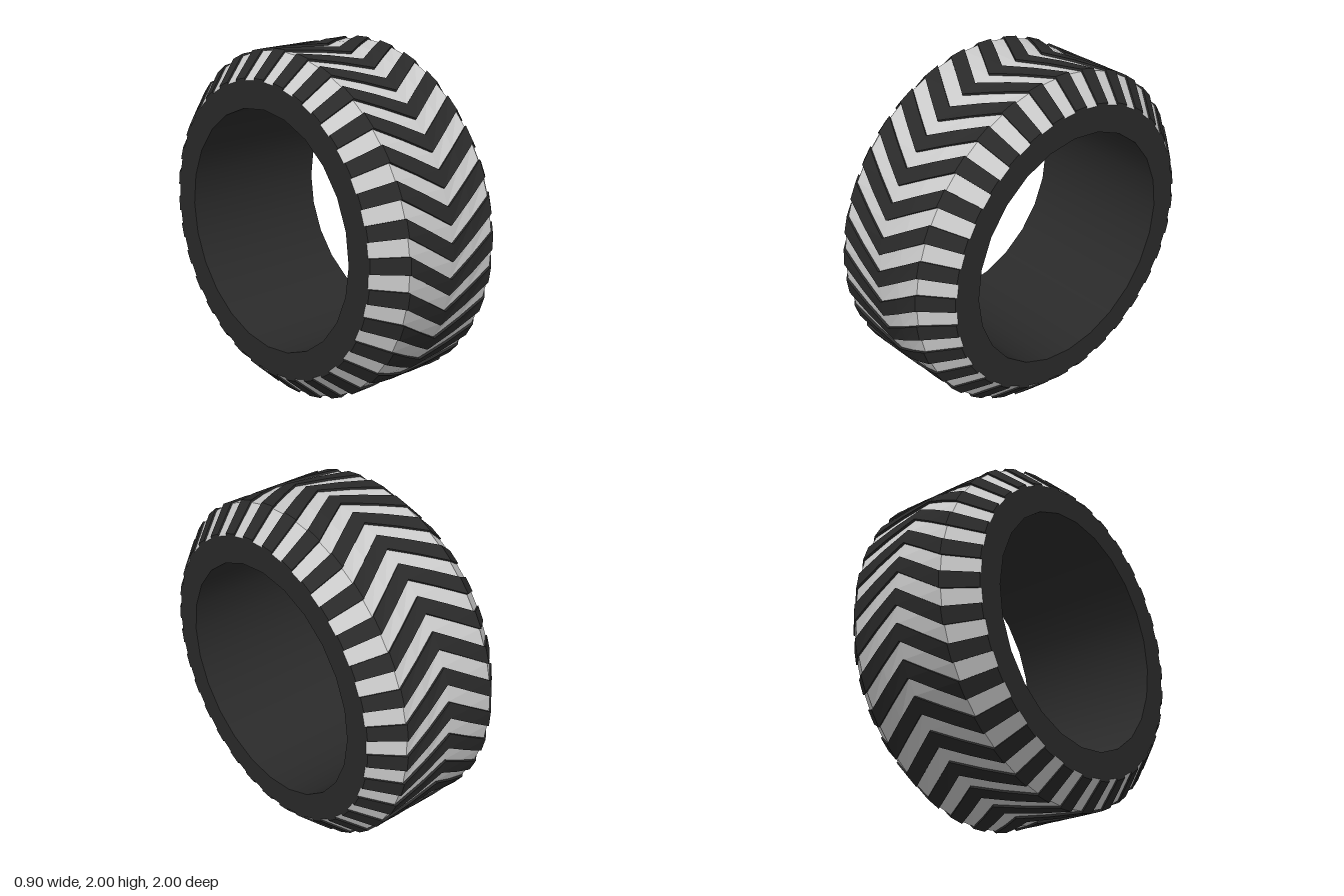
import * as THREE from 'three';

const LUGS = 32, PITCH = (Math.PI * 2) / LUGS;
const HALF_WIDTH = 0.45, SHOULDER = 0.3;
const BORE_R = 0.692, BORE_SIDES = 24;
const CROWN_R = 0.985, RIM_R = 0.842, LUG_HEIGHT = 0.013;

// Stations across the tread: x, radius of the groove floor, chevron twist
const stations = [-HALF_WIDTH, -SHOULDER, -0.15, 0, 0.15, SHOULDER, HALF_WIDTH].map((x) => ({
  x,
  r: Math.abs(x) > SHOULDER ? RIM_R : CROWN_R,
  twist: (PITCH * Math.min(Math.abs(x), SHOULDER)) / SHOULDER,
}));

// Point on the tread: station, start angle (0 = front, rising upward), height over the floor
function treadPoint(s, angle, height) {
  const a = angle + s.twist, r = s.r + height;
  return [s.x, r * Math.sin(a), r * Math.cos(a)];
}

// One chevron per pitch, over half of the pitch; raised chevrons also get walls and ends
function chevrons(offset, height) {
  const pos = [];
  const quad = (a, b, c, d) => pos.push(...a, ...b, ...c, ...a, ...c, ...d);
  for (let k = 0; k < LUGS; k++) {
    const a0 = k * PITCH + offset, a1 = a0 + PITCH / 2;
    for (let i = 0; i < stations.length - 1; i++) {
      const p = stations[i], q = stations[i + 1];
      const p0 = treadPoint(p, a0, height), q0 = treadPoint(q, a0, height);
      const p1 = treadPoint(p, a1, height), q1 = treadPoint(q, a1, height);
      quad(p0, q0, q1, p1);
      if (height > 0) {
        quad(p0, treadPoint(p, a0, 0), treadPoint(q, a0, 0), q0);
        quad(q1, treadPoint(q, a1, 0), treadPoint(p, a1, 0), p1);
      }
    }
    if (height > 0) {
      const l = stations[0], r = stations[stations.length - 1];
      quad(treadPoint(l, a0, 0), treadPoint(l, a0, height), treadPoint(l, a1, height), treadPoint(l, a1, 0));
      quad(treadPoint(r, a1, 0), treadPoint(r, a1, height), treadPoint(r, a0, height), treadPoint(r, a0, 0));
    }
  }
  const geo = new THREE.BufferGeometry();
  geo.setAttribute('position', new THREE.Float32BufferAttribute(pos, 3));
  geo.computeVertexNormals();
  return geo;
}

function circlePoints(radius, sides) {
  return Array.from({ length: sides }, (_, i) => {
    const a = (i / sides) * Math.PI * 2;
    return new THREE.Vector2(radius * Math.cos(a), radius * Math.sin(a));
  });
}

export function createModel() {
  const group = new THREE.Group();
  group.name = 'tire';
  const grey = new THREE.MeshStandardMaterial({ color: 0xcccccc });
  const rubber = new THREE.MeshStandardMaterial({ color: 0x2a2a2a });
  const boreRubber = new THREE.MeshStandardMaterial({ color: 0x2a2a2a, side: THREE.BackSide });

  const add = (name, geometry, material) => {
    const mesh = new THREE.Mesh(geometry, material);
    mesh.name = name;
    mesh.position.y = 1;
    group.add(mesh);
    return mesh;
  };

  // Tread: light groove floors between raised dark lugs
  add('treadGrooves', chevrons(-PITCH / 2, 0), grey);
  add('treadLugs', chevrons(0, LUG_HEIGHT), rubber);

  // Flat sidewall rings
  const ring = new THREE.Shape(circlePoints(RIM_R, LUGS * 2));
  ring.holes.push(new THREE.Path(circlePoints(BORE_R, BORE_SIDES)));
  for (const side of [1, -1]) {
    const wall = add(side > 0 ? 'leftSidewall' : 'rightSidewall', new THREE.ShapeGeometry(ring), rubber);
    wall.rotation.y = (side * Math.PI) / 2;
    wall.position.x = side * HALF_WIDTH;
  }

  // Inner bore, seen from inside
  const bore = new THREE.CylinderGeometry(BORE_R, BORE_R, HALF_WIDTH * 2, BORE_SIDES, 1, true);
  bore.rotateZ(Math.PI / 2);
  add('bore', bore, boreRubber);

  return group;
}
